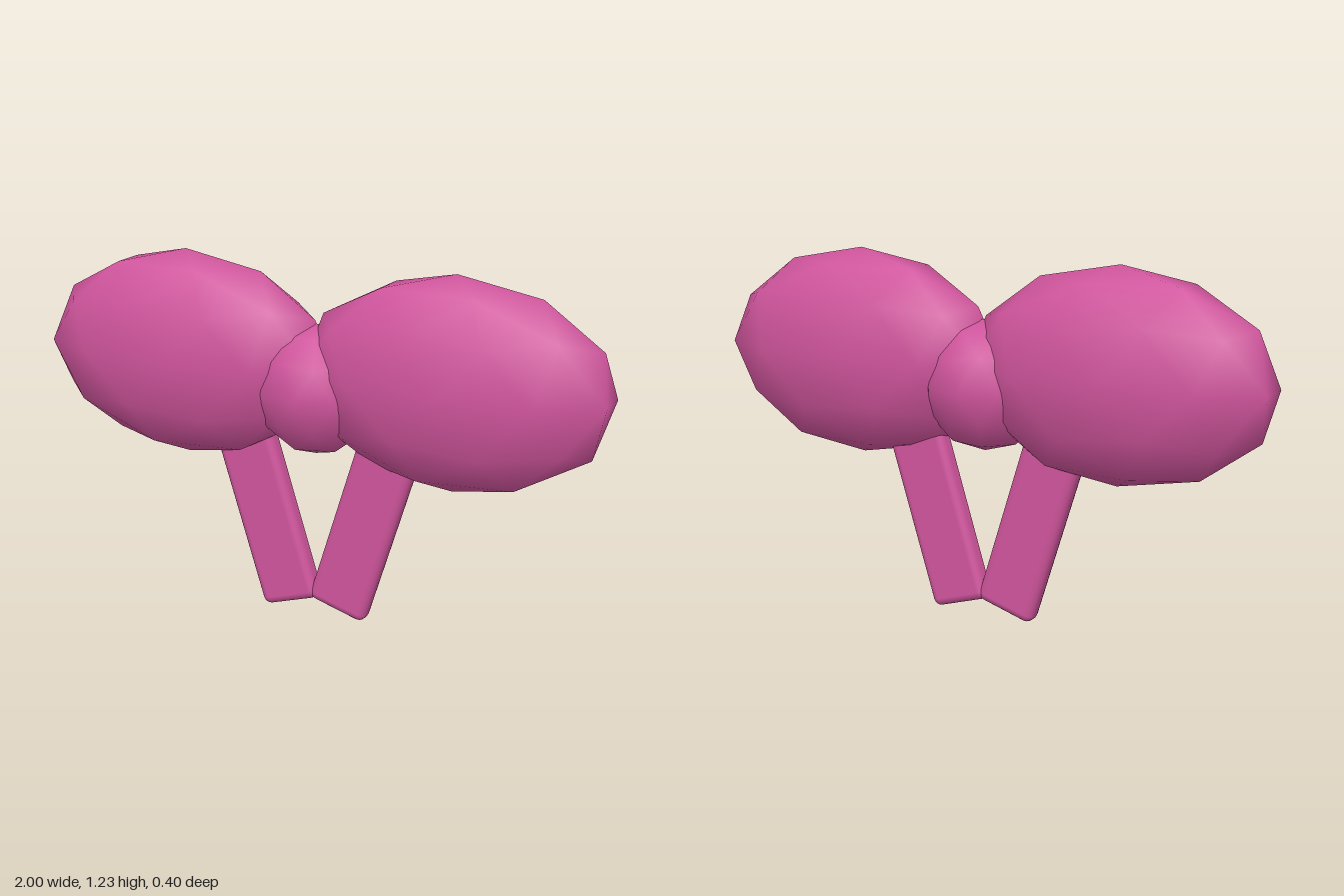
import * as THREE from 'three';
import { RoundedBoxGeometry } from 'three/addons/geometries/RoundedBoxGeometry.js';

export function createModel() {
  const bow = new THREE.Group();
  bow.name = 'ribbonBow';
  const pink = new THREE.MeshStandardMaterial({ color: 0xd0559d });
  pink.name = 'pink';

  const add = (name, geometry, x, y, tilt = 0) => {
    const mesh = new THREE.Mesh(geometry, pink);
    mesh.name = name;
    mesh.position.set(x, y, 0);
    mesh.rotation.z = tilt;
    bow.add(mesh);
  };

  // Smooth low-poly ellipsoid: an icosphere with one vertex turned to +y
  const ellipsoid = (rx, ry, rz) => {
    const golden = (1 + Math.sqrt(5)) / 2;
    return new THREE.IcosahedronGeometry(1, 1)
      .rotateZ(-Math.atan(1 / golden))
      .scale(rx, ry, rz);
  };

  // Puffy loops (same shape on both sides, not mirrored)
  add('leftLoop', ellipsoid(0.54, 0.358, 0.2), 0.486, 0.872);
  add('rightLoop', ellipsoid(0.54, 0.358, 0.2), -0.486, 0.872);

  // Centre knot
  add('knot', ellipsoid(0.223, 0.223, 0.18), 0, 0.798);

  // Ribbon tails, meeting at the bottom in a V
  for (const [name, side] of [['leftTail', 1], ['rightTail', -1]]) {
    add(name, new RoundedBoxGeometry(0.215, 0.65, 0.074, 2, 0.028), side * 0.18, 0.336, side * -0.3);
  }

  return bow;
}
